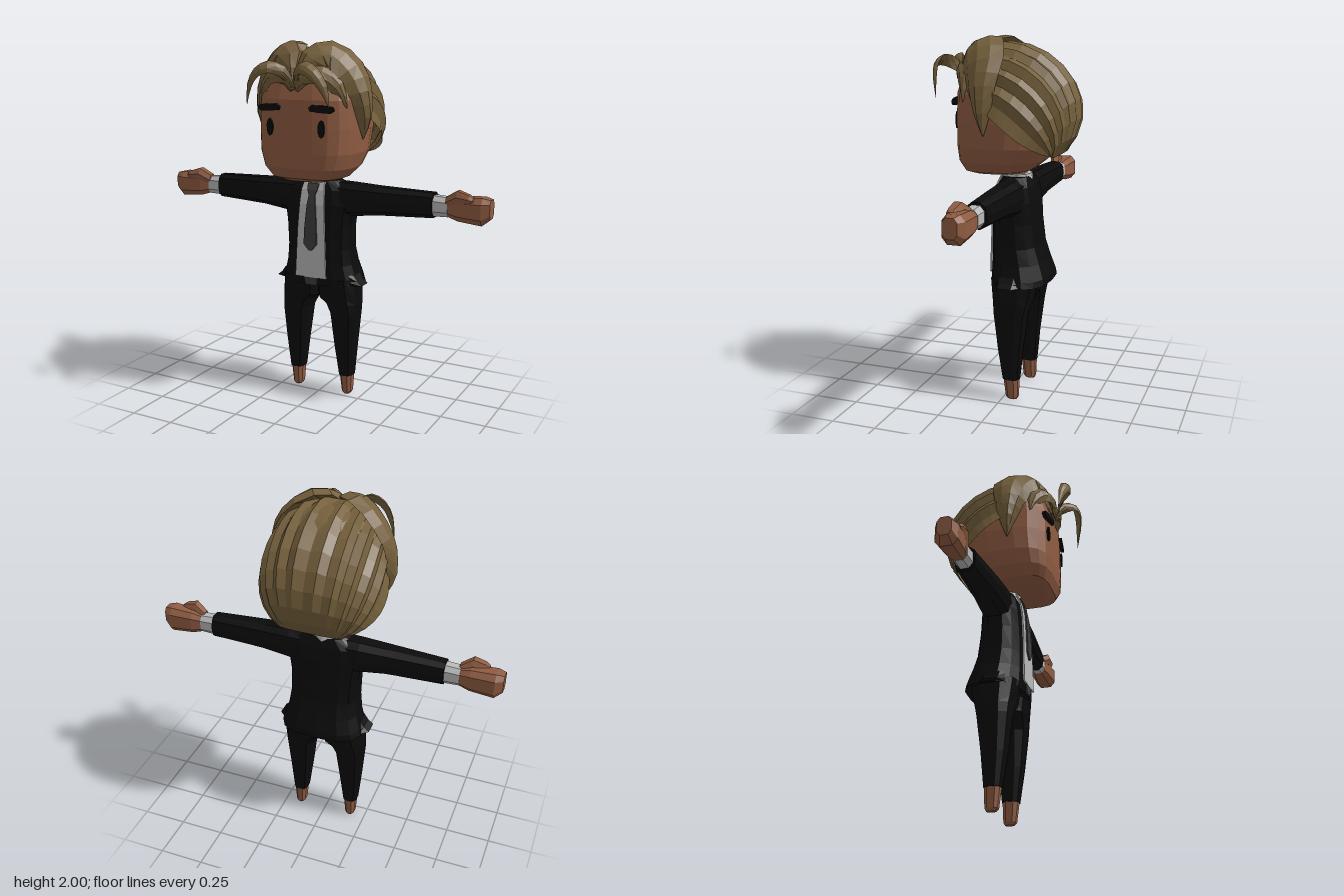
import * as THREE from 'three';

const mat = (name, color, side = THREE.FrontSide) => {
  const m = new THREE.MeshStandardMaterial({ color, side });
  m.name = name;
  return m;
};
const V = (x, y, z) => new THREE.Vector3(x, y, z);

// Faceted solid through equal-sized rings of points; winding is fixed by signed volume.
function loft(rings) {
  const n = rings[0].length, tris = [];
  for (let i = 0; i < rings.length - 1; i++)
    for (let j = 0; j < n; j++) {
      const k = (j + 1) % n, a = rings[i], b = rings[i + 1];
      tris.push([a[j], a[k], b[k]], [a[j], b[k], b[j]]);
    }
  const centre = r => r.reduce((s, p) => s.add(p), V(0, 0, 0)).divideScalar(n);
  const first = rings[0], last = rings[rings.length - 1];
  const c0 = centre(first), c1 = centre(last);
  for (let j = 0; j < n; j++) {
    const k = (j + 1) % n;
    tris.push([c0, first[k], first[j]], [c1, last[j], last[k]]);
  }
  let volume = 0;
  for (const [a, b, c] of tris)
    volume += a.clone().sub(c0).dot(b.clone().sub(c0).cross(c.clone().sub(c0)));
  return faceted(volume < 0 ? tris.map(([a, b, c]) => [a, c, b]) : tris);
}
function faceted(tris) {
  const g = new THREE.BufferGeometry().setFromPoints(tris.flat());
  g.computeVertexNormals();
  return g;
}

// Superellipse outline in the unit square
function outline(sides, power) {
  return Array.from({ length: sides }, (_, i) => {
    const t = ((i + 0.5) / sides) * Math.PI * 2, c = Math.cos(t), s = Math.sin(t);
    const p = s < 0 && Array.isArray(power) ? power[1] : [power].flat()[0];
    return [Math.sign(c) * Math.abs(c) ** (2 / p), Math.sign(s) * Math.abs(s) ** (2 / p)];
  });
}
// Upright body: rows of [y, x0, x1, zFront, zBack]
const upright = (rows, sides, power, s = 1) => loft(rows.map(([y, x0, x1, zf, zb]) =>
  outline(sides, power).map(([a, b]) =>
    V(s * ((x0 + x1) / 2 + (a * (x1 - x0)) / 2), y, (zf + zb) / 2 + (b * (zf - zb)) / 2))));
// Sideways limb: rows of [x, yLow, yHigh, zFront, zBack]
const sideways = (rows, sides, power, s) => loft(rows.map(([x, y0, y1, zf, zb]) =>
  outline(sides, power).map(([a, b]) =>
    V(s * x, (y0 + y1) / 2 + (a * (y1 - y0)) / 2, (zf + zb) / 2 + (b * (zf - zb)) / 2))));
const centred = rows => rows.map(([y, h, zf, zb]) => [y, -h, h, zf, zb]);
// Thin front panel: rows of [y, halfWidth, zFront]
const panel = rows => loft(rows.map(([y, h, z]) =>
  [V(-h, y, z), V(h, y, z), V(h, y, z - 0.009), V(-h, y, z - 0.009)]));

// Tapered hair lock lying on the head: points [x, y, z], half widths, thickness
function lock(points, widths, thick, s) {
  const curve = new THREE.CatmullRomCurve3(points.map(p => V(...p)));
  const steps = (points.length - 1) * 2, mid = V(0, 1.62, -0.02);
  return loft(Array.from({ length: steps + 1 }, (_, i) => {
    const t = i / steps, p = curve.getPoint(t), dir = curve.getTangent(t);
    const out = p.clone().sub(mid);
    out.addScaledVector(dir, -out.dot(dir)).normalize();
    const across = dir.clone().cross(out);
    const f = Math.min(i / 2, widths.length - 1.0001), k = Math.floor(f);
    const w = THREE.MathUtils.lerp(widths[k], widths[k + 1], f - k);
    const h = thick * Math.min(1, w / 0.04);
    return [[-1, -0.6], [-0.55, 0.6], [0, 1], [0.55, 0.6], [1, -0.6], [0, -0.8]].map(([a, b]) => {
      const q = p.clone().addScaledVector(across, a * w).addScaledVector(out, b * h);
      q.x = Math.max(q.x, 0.002) * s;
      return q;
    });
  }));
}

// Combed back hair: ridged strands fanning from the crown and temples to the nape
function combedHair() {
  const strands = 22, steps = 9;
  const bez = (a, b, c, d, t) => { const m = 1 - t; return a*m*m*m + 3*b*m*m*t + 3*c*m*t*t + d*t*t*t; };
  const point = (col, v) => {
    const phi = (col / strands - 0.5) * Math.PI, c = Math.cos(phi) ** 0.85, sn = Math.sin(phi);
    const cz = bez(0.15, -0.2, -0.55, -0.27, v), cy = bez(1.95, 2.05, 1.65, 1.37, v);
    const sz = bez(0.06, -0.05, -0.17, -0.27, v), sy = bez(1.62, 1.55, 1.43, 1.38, v);
    const ridge = col % 2 ? 0.955 : 1.015;
    const x = bez(0.3, 0.35, 0.36, 0.17, v) * Math.sign(sn) * Math.abs(sn) ** 0.85;
    return V(x * ridge, sy + (cy - sy) * c * ridge, sz + (cz - sz) * c * ridge);
  };
  const tris = [];
  for (let i = 0; i < strands; i++)
    for (let j = 0; j < steps; j++) {
      // offset columns so that a groove falls on the centre line
      const a = point(i, j / steps), b = point(i + 1, j / steps);
      const c = point(i + 1, (j + 1) / steps), d = point(i, (j + 1) / steps);
      tris.push([a, b, c], [a, c, d]);
    }
  return faceted(tris.map(([a, b, c]) => [a, c, b]));
}

export function createModel() {
  const skin = mat('skin', 0x8f5c42), hair = mat('hair', 0x75603c, THREE.DoubleSide);
  const suit = mat('black suit', 0x0b0b0c), shirt = mat('shirt', 0xb9b9b9);
  const grey = mat('tie grey', 0x3d3d3d), ink = mat('face ink', 0x080808);
  const model = new THREE.Group();
  const add = (name, geometry, material) => {
    const m = new THREE.Mesh(geometry, material);
    m.name = name;
    model.add(m);
    return m;
  };

  // Head and neck
  add('head', upright(centred([
    [1.265, 0.13, 0.2, -0.06], [1.285, 0.2, 0.238, -0.12], [1.34, 0.25, 0.262, -0.19],
    [1.42, 0.278, 0.267, -0.25], [1.55, 0.285, 0.267, -0.29], [1.7, 0.28, 0.265, -0.29],
    [1.8, 0.25, 0.235, -0.25], [1.88, 0.15, 0.13, -0.16]]), 20, [3.6, 2.3]), skin);
  add('neck', upright(centred([[1.18, 0.065, 0.04, -0.09], [1.3, 0.06, 0.04, -0.08]]), 8, 2), skin);

  // Hair
  add('combedHair', combedHair(), hair);
  const crown = new THREE.SphereGeometry(1, 14, 5, 0, Math.PI * 2, 0, 1.3).toNonIndexed();
  crown.scale(0.285, 0.24, 0.255).translate(0, 1.715, 0.005);
  crown.computeVertexNormals();
  add('crownHair', crown, hair);

  // Torso
  add('jacket', upright(centred([
    [0.665, 0.238, 0.085, -0.232], [0.7, 0.228, 0.09, -0.228], [0.78, 0.205, 0.088, -0.2],
    [0.87, 0.194, 0.086, -0.17], [1.0, 0.198, 0.084, -0.152], [1.12, 0.215, 0.076, -0.142],
    [1.2, 0.2, 0.06, -0.128], [1.25, 0.12, 0.035, -0.105]]), 14, 2.8), suit);
  add('shirtFront', panel([[0.71, 0.095, 0.1], [0.87, 0.088, 0.097], [1.0, 0.082, 0.094],
    [1.12, 0.075, 0.086], [1.2, 0.07, 0.071], [1.25, 0.06, 0.05]]), shirt);
  add('tie', panel([[0.865, 0.008, 0.107], [0.9, 0.04, 0.106], [1.0, 0.036, 0.103],
    [1.12, 0.026, 0.094], [1.17, 0.018, 0.085], [1.2, 0.03, 0.08], [1.235, 0.034, 0.064]]), grey);
  add('buckle', panel([[0.665, 0.035, 0.096], [0.71, 0.042, 0.1]]), grey);
  add('collar', upright(centred([[1.2, 0.1, 0.06, -0.12], [1.262, 0.088, 0.055, -0.108]]), 10, 2.4), shirt);

  for (const s of [1, -1]) {
    const side = s > 0 ? 'left' : 'right';

    // Face
    const eye = new THREE.CylinderGeometry(0.019, 0.019, 0.009, 10);
    eye.rotateX(Math.PI / 2).scale(1, 2.4, 1);
    const e = add(side + 'Eye', eye, ink);
    e.position.set(s * 0.152, 1.555, 0.262);
    e.rotation.y = s * 0.09;
    const brow = new THREE.Shape([[0.085, 1.665], [0.1, 1.677], [0.18, 1.675], [0.215, 1.668],
      [0.222, 1.65], [0.2, 1.637], [0.14, 1.64], [0.09, 1.646]].map(([x, y]) => new THREE.Vector2(s * x, y)));
    const b = new THREE.ExtrudeGeometry(brow, { depth: 0.02, bevelEnabled: false });
    b.translate(-s * 0.15, 0, 0);
    const bm = add(side + 'Eyebrow', b, ink);
    bm.position.set(s * 0.15, 0, 0.253);
    bm.rotation.y = s * 0.13;

    // Swept fringe: large lobe to the temple, inner lock and front curl
    add(side + 'HairLobe', lock([[0.01, 1.78, 0.255], [0.05, 1.91, 0.2], [0.14, 1.945, 0.13],
      [0.245, 1.86, 0.09], [0.3, 1.74, 0.08], [0.31, 1.61, 0.068], [0.295, 1.49, 0.06]],
      [0.02, 0.09, 0.125, 0.125, 0.09, 0.05, 0.002], 0.035, s), hair);
    add(side + 'InnerLock', lock([[0.01, 1.75, 0.27], [0.06, 1.825, 0.265], [0.14, 1.835, 0.235],
      [0.215, 1.775, 0.2], [0.262, 1.66, 0.185]], [0.015, 0.05, 0.065, 0.05, 0.002], 0.022, s), hair);
    add(side + 'FrontCurl', lock([[0.006, 1.755, 0.268], [0.04, 1.845, 0.32], [0.1, 1.875, 0.365],
      [0.165, 1.845, 0.375], [0.215, 1.775, 0.362], [0.24, 1.675, 0.345]],
      [0.012, 0.032, 0.04, 0.036, 0.025, 0.002], 0.014, s), hair);

    // Arm, cuff and fist
    add(side + 'Sleeve', sideways([[0.1, 1.03, 1.247, 0.05, -0.12], [0.2, 1.055, 1.243, 0.05, -0.12],
      [0.35, 1.075, 1.235, 0.042, -0.112], [0.665, 1.088, 1.226, 0.012, -0.102]], 10, 2.6, s), suit);
    add(side + 'Cuff', sideways([[0.65, 1.097, 1.215, 0.002, -0.093],
      [0.745, 1.1, 1.208, 0, -0.09]], 8, 2.6, s), shirt);
    add(side + 'Fist', sideways([[0.735, 1.105, 1.2, -0.008, -0.085], [0.8, 1.085, 1.218, 0.01, -0.1],
      [0.93, 1.073, 1.225, 0.02, -0.105], [0.972, 1.11, 1.215, 0, -0.08]], 8, 3, s), skin);
    add(side + 'Thumb', sideways([[0.735, 1.15, 1.215, 0, -0.06], [0.8, 1.18, 1.256, 0.022, -0.045],
      [0.865, 1.185, 1.235, 0.022, -0.035], [0.885, 1.19, 1.22, 0.012, -0.03]], 6, 2.6, s), skin);

    // Pointed jacket hem at the hip
    add(side + 'HemFlap', loft([[0.725, 0.19, 0.215], [0.69, 0.19, 0.24], [0.668, 0.19, 0.268]].map(([y, x0, x1]) =>
      [V(s * x0, y, 0.03), V(s * x1, y, 0), V(s * x1, y, -0.08), V(s * x0, y, -0.15)])), suit);

    // Leg and foot
    add(side + 'TrouserLeg', upright([[0.12, 0.115, 0.2, 0, -0.098], [0.3, 0.092, 0.216, 0.028, -0.115],
      [0.5, 0.068, 0.232, 0.052, -0.142], [0.555, 0.04, 0.233, 0.058, -0.155],
      [0.585, -0.005, 0.232, 0.064, -0.165], [0.7, -0.01, 0.22, 0.08, -0.19]], 10, 2.8, s), suit);
    add(side + 'Foot', upright([[0, 0.142, 0.176, -0.03, -0.082], [0.015, 0.13, 0.188, -0.018, -0.09],
      [0.13, 0.119, 0.197, -0.004, -0.094]], 8, 2.6, s), skin);
  }
  return model;
}
